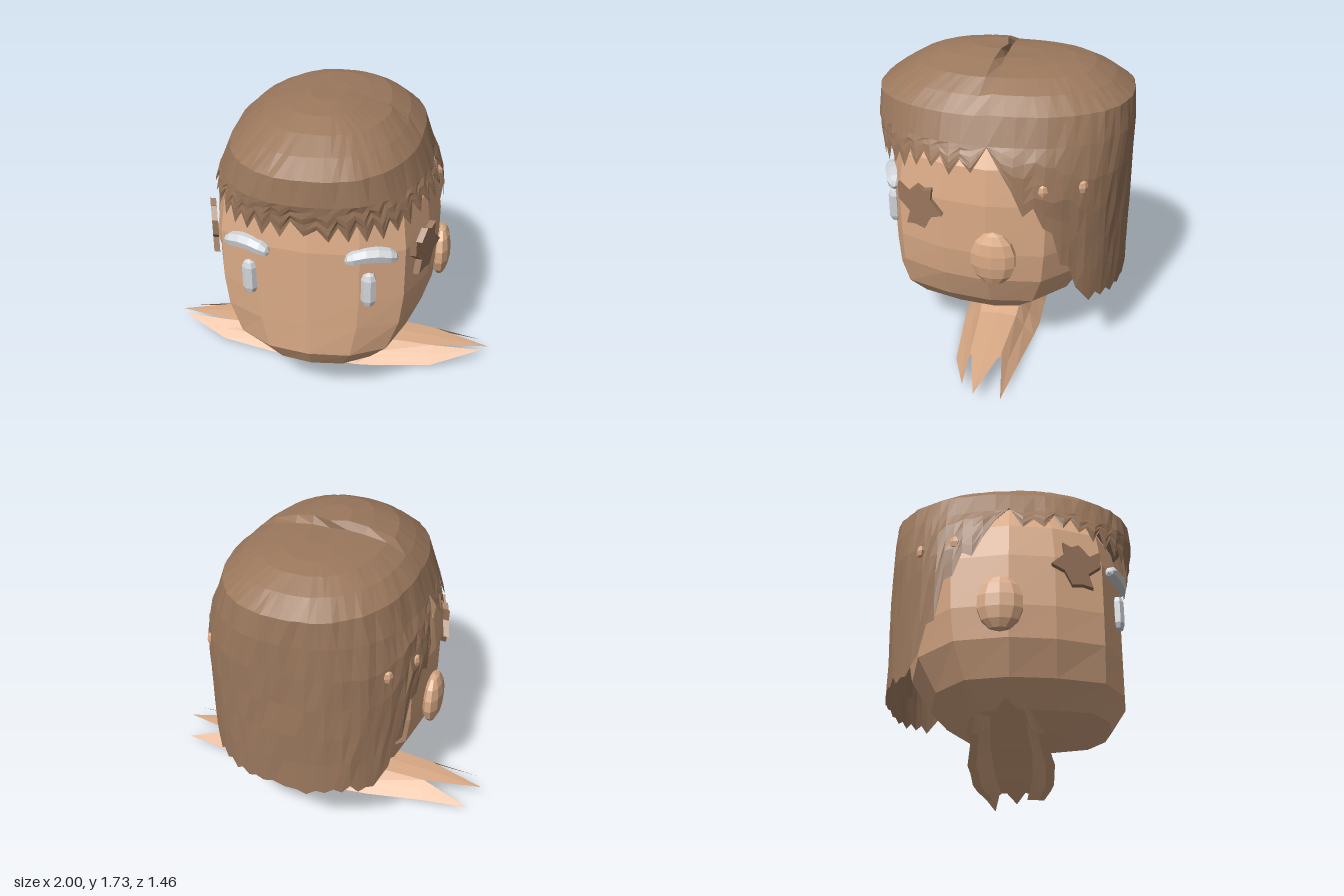
import * as THREE from 'three';

const flat = (name, color) => {
  const m = new THREE.MeshStandardMaterial({ color, flatShading: true, side: THREE.DoubleSide });
  m.name = name;
  return m;
};

// Joins equal-length closed rings of [x, y, z], listed from bottom to top
function loft(rings) {
  const n = rings[0].length, index = [];
  for (let i = 0; i < rings.length - 1; i++) {
    for (let j = 0; j < n; j++) {
      const k = (j + 1) % n, a = i * n + j, b = i * n + k;
      index.push(a, b, b + n, a, b + n, a + n);
    }
  }
  const g = new THREE.BufferGeometry();
  g.setAttribute('position', new THREE.Float32BufferAttribute(rings.flat(2), 3));
  g.setIndex(index);
  g.computeVertexNormals();
  return g;
}

// Linear lookup in a table of [key, value] with falling keys
function lookup(table, key) {
  for (let i = 1; i < table.length; i++) {
    const [k0, v0] = table[i - 1], [k1, v1] = table[i];
    if (key >= k1) return v0 + (v1 - v0) * Math.max(0, (k0 - key) / (k0 - k1));
  }
  return table[table.length - 1][1];
}

function headGeometry() {
  const half = [[0, .65], [.28, .62], [.51, .51], [.61, .25], [.645, 0], [.6, -.32], [.38, -.55], [0, -.64]];
  const plan = [...half, ...half.slice(1, -1).reverse().map(([x, z]) => [-x, z])];
  // height, width scale, front depth scale, back depth scale
  const rows = [[.19, 0, 0, 0], [.2, .3, .46, .2], [.25, .63, .87, .42], [.38, .83, 1, .74],
    [.57, .96, 1, .92], [.75, 1, 1, .97], [1.05, 1, 1, 1], [1.25, .955, .95, .97],
    [1.45, .78, .8, .86], [1.58, .5, .5, .5], [1.6, 0, 0, 0]];
  return loft(rows.map(([y, w, f, b]) => plan.map(([x, z]) => [x * w, y, z * (z > 0 ? f : b)])));
}

function hairGeometry() {
  let seed = 7;
  const rand = () => (seed = (seed * 16807) % 2147483647) / 2147483647 - .5;
  const columns = 84;
  // Hem height by depth: fringe, temples, sloping sides, nape
  const hemLine = [[.72, 1.2], [.5, 1.22], [.3, 1.29], [.16, 1.24], [.05, 1.28], [0, 1.34], [-.1, 1.28],
    [-.14, 1.12], [-.29, 1.0], [-.37, .84], [-.42, .68], [-.48, .58], [-.5, .44], [-.72, .41]];
  const widths = [[1.37, .585], [1.27, .632], [1.1, .66], [.4, .655]];
  // Crown rows: height, half width, half depth
  const front = [[1.37, .585, .73], [1.51, .525, .72], [1.59, .445, .61], [1.66, .355, .49],
    [1.71, .21, .37], [1.735, .1, .2], [1.73, 0, 0]];
  const back = [[1.37, .585, .72], [1.52, .525, .71], [1.6, .435, .6], [1.655, .33, .49],
    [1.68, .2, .38], [1.69, .1, .2], [1.685, 0, 0]];
  const cols = Array.from({ length: columns }, (_, j) => {
    const a = (j / columns) * Math.PI * 2, s = Math.sin(a), c = Math.cos(a);
    const x = Math.sign(s) * Math.abs(s) ** .85, z = Math.sign(c) * Math.abs(c) ** .85;
    const tooth = (z < -.75 ? .012 : .04) + rand() * .02;
    const hem = lookup(hemLine, z * .72) + (j % 2 ? tooth : -tooth) + rand() * .03;
    return { x, z, hem, crown: c > .01 ? front : back };
  });
  const rings = [0, .2, .4, .6, .8].map((t) => cols.map(({ x, z, hem }) => {
    const r = t ? 1 + rand() * .015 : 1;
    const y = hem + (1.37 - hem) * t, w = lookup(widths, y);
    return [x * w * r, y, z * (z > 0 ? .7 + .03 * t : .72) * r];
  }));
  front.forEach((_, i) => rings.push(cols.map(({ x, z, crown }) => {
    const [y, w, d] = crown[i], r = 1 + rand() * .015;
    return [x * w * r, y, z * d * r];
  })));
  return loft(rings);
}

// Arched shoulder shell running along x, ending in three spikes a side
function shouldersGeometry() {
  // x, half depth, top height, bottom height
  const half = [[.66, .18, .12, .03], [.33, .22, .145, .005], [.2, .235, .19, .005], [0, .235, .2, .02]];
  const stations = [...half.map(([x, ...r]) => [-x, ...r]), ...half.slice(0, -1).reverse()];
  const outer = [[1, 0], [.72, .45], [.5, .95], [0, 1], [-.5, .95], [-.72, .45], [-1, 0]];
  const inner = [[-.8, 0], [-.48, .5], [0, .55], [.48, .5], [.8, 0]];
  const ring = [...outer, ...inner];
  const g = loft(stations.map(([x, d, top, low]) => ring.map(([z, h]) => [x, low + (top - low) * h, z * d])));
  const pos = Array.from(g.attributes.position.array), index = Array.from(g.index.array);
  const tips = [[.96, .11, .07], [1, .09, 0], [.95, .03, -.14]];
  for (const [side, start] of [[-1, 0], [1, (stations.length - 1) * ring.length]]) {
    tips.forEach(([x, y, z], i) => {
      const tip = pos.length / 3, p = start + i * 2;
      pos.push(x * side, y, z);
      for (const k of [p, p + 1]) index.push(...(side > 0 ? [k, k + 1, tip] : [k + 1, k, tip]));
    });
  }
  g.setAttribute('position', new THREE.Float32BufferAttribute(pos, 3));
  g.setIndex(index);
  g.computeVertexNormals();
  return g;
}

// Ragged tuft lying over the temple
function tuftGeometry() {
  const outline = [[.5, 1.1], [.44, 1.06], [.38, 1.12], [.34, 1.1], [.29, 1.12], [.3, 1.05], [.23, .98],
    [.3, .95], [.34, .87], [.4, .88], [.455, .87], [.43, .95], [.5, 1.01]];
  const shape = new THREE.Shape(outline.map(([z, y]) => new THREE.Vector2(-z, y)).reverse());
  const g = new THREE.ExtrudeGeometry(shape, { depth: .035, bevelEnabled: false });
  g.rotateY(Math.PI / 2);
  const p = g.attributes.position;
  for (let i = 0; i < p.count; i++) p.setX(i, p.getX(i) + .632 - .38 * (p.getZ(i) - .23));
  return g;
}

export function createModel() {
  const model = new THREE.Group();
  model.name = 'bust';
  const skin = flat('skin', 0xdbab87);
  const hair = flat('hair brown', 0x9b785d);
  const pale = flat('pale grey', 0xd4d8dc);
  const add = (parent, name, geometry, material, position = [0, 0, 0]) => {
    const mesh = new THREE.Mesh(geometry, material);
    mesh.name = name;
    mesh.position.set(...position);
    parent.add(mesh);
    return mesh;
  };

  add(model, 'head', headGeometry(), skin);
  add(model, 'hair', hairGeometry(), hair);
  add(model, 'shoulders', shouldersGeometry(), skin);
  add(model, 'neck', new THREE.CylinderGeometry(.2, .2, .1, 8, 1, true), skin, [0, .18, 0]).scale.z = .62;

  // Paired features, mirrored across x
  for (const side of [1, -1]) {
    const half = new THREE.Group();
    half.name = side > 0 ? 'leftFeatures' : 'rightFeatures';
    half.scale.x = side;
    model.add(half);

    add(half, 'ear', new THREE.SphereGeometry(1, 10, 7), skin, [.66, .745, -.045]).scale.set(.058, .163, .13);
    add(half, 'templeTuft', tuftGeometry(), hair);

    // Brow with drooping, tapered ends
    const brow = new THREE.CapsuleGeometry(.046, .2, 2, 7, 3);
    brow.rotateZ(Math.PI / 2);
    const p = brow.attributes.position;
    for (let i = 0; i < p.count; i++) {
      const x = p.getX(i), taper = 1 - 10 * x * x;
      p.setXYZ(i, x, p.getY(i) * taper + .012 - 1.2 * x * x, p.getZ(i) * taper);
    }
    add(half, 'eyebrow', brow, pale, [.34, 1.04, .598]).rotation.y = .34;

    const eye = add(half, 'eye', new THREE.CapsuleGeometry(.043, .13, 2, 7), pale, [.33, .835, .605]);
    eye.scale.z = .8;
    eye.rotation.y = .2;

    // Small bare spots in the side hair
    for (const [x, z, turn] of [[.61, -.3, .3], [.515, -.5, .75]]) {
      const spot = add(half, 'bareSpot', new THREE.SphereGeometry(1, 6, 4), skin, [x, 1.15, z]);
      spot.scale.set(.018, .04, .03);
      spot.rotation.y = turn;
    }
  }
  return model;
}
